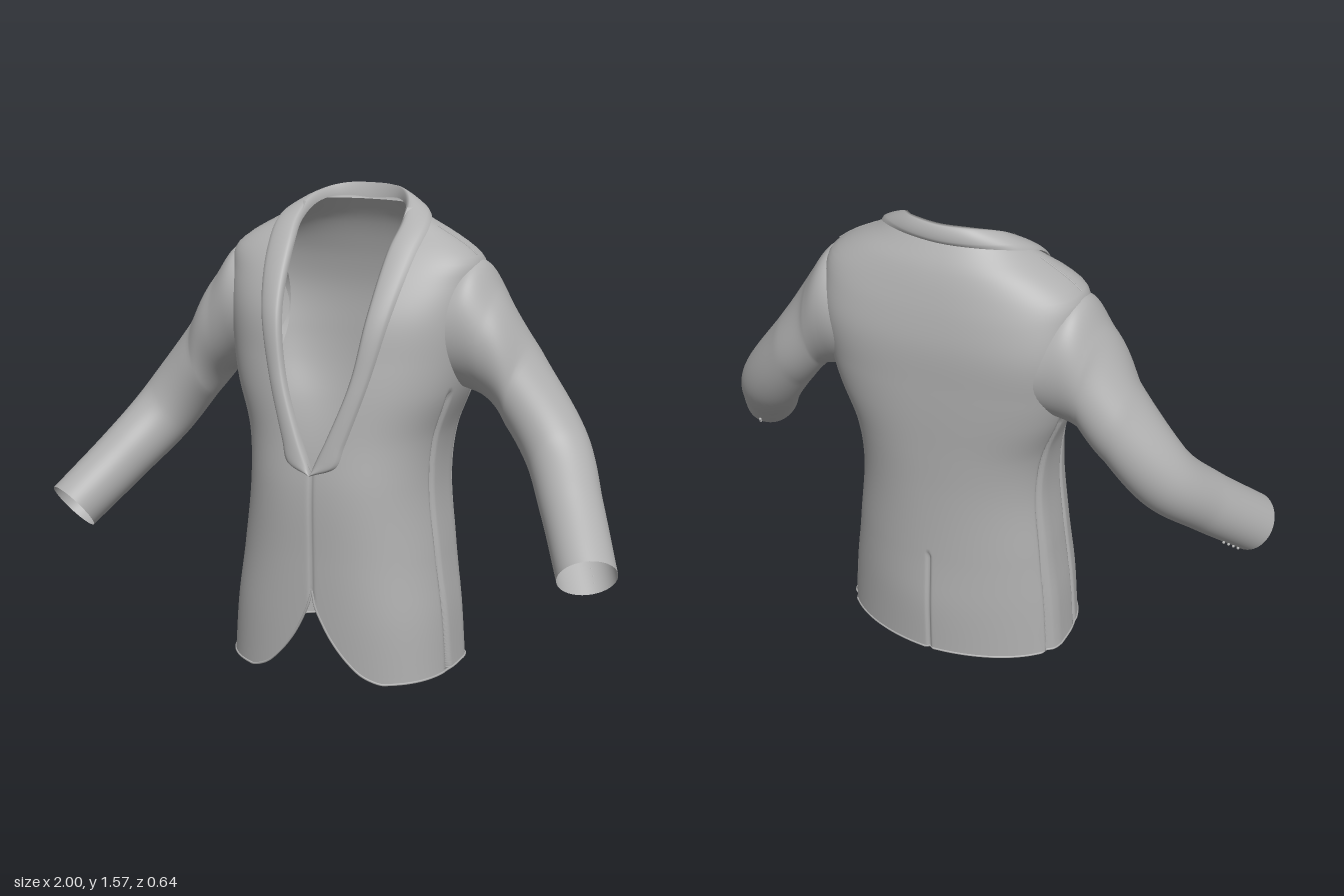
import * as THREE from 'three';
import { mergeVertices } from 'three/addons/utils/BufferGeometryUtils.js';

const V = (x, y, z) => new THREE.Vector3(x, y, z);

// Smooth surface from a rule f(u, v), u and v in 0..1
function grid(nu, nv, f) {
  const pos = [], index = [];
  for (let j = 0; j <= nv; j++)
    for (let i = 0; i <= nu; i++) pos.push(...f(i / nu, j / nv).toArray());
  for (let j = 0; j < nv; j++)
    for (let i = 0; i < nu; i++) {
      const a = j * (nu + 1) + i, b = a + nu + 1;
      index.push(a, a + 1, b, a + 1, b + 1, b);
    }
  let g = new THREE.BufferGeometry();
  g.setAttribute('position', new THREE.Float32BufferAttribute(pos, 3));
  g.setIndex(index);
  g = mergeVertices(g, 1e-5);
  g.computeVertexNormals();
  return g;
}

// Torso sections: height, half width, front z, back z, squareness of front and back
const SECTIONS = [
  [0, 0.39, 0.275, -0.312, 2.9, 1.78], [0.2, 0.375, 0.282, -0.316, 2.8, 1.82],
  [0.4, 0.35, 0.286, -0.308, 2.6, 2], [0.65, 0.325, 0.288, -0.306, 2.5, 2.2],
  [0.8, 0.34, 0.272, -0.31, 2.4, 2.4], [0.95, 0.392, 0.252, -0.315, 2.35, 2.7],
  [1.05, 0.412, 0.234, -0.316, 2.35, 3], [1.2, 0.428, 0.2, -0.314, 2.4, 3.4],
  [1.3, 0.432, 0.148, -0.298, 2.4, 3], [1.37, 0.425, 0.095, -0.28, 2.4, 2.5],
  [1.41, 0.378, 0.06, -0.267, 2.4, 2.4], [1.45, 0.308, 0.015, -0.25, 2.4, 2.4],
  [1.48, 0.252, -0.01, -0.232, 2.4, 2.3], [1.52, 0.195, -0.05, -0.204, 2.4, 2.2],
];
// Half width of the front opening: cutaway hem below, neckline above
const OPENING = [
  [0, 0.235], [0.01, 0.205], [0.03, 0.168], [0.06, 0.135], [0.1, 0.1], [0.15, 0.065], [0.2, 0.038],
  [0.26, 0.012], [0.31, 0], [0.71, 0], [0.82, 0.06], [1, 0.125], [1.2, 0.16], [1.4, 0.178], [1.52, 0.18],
];
const interpolant = (Type, rows) =>
  new Type(rows.map(r => r[0]), rows.flatMap(r => r.slice(1)), rows[0].length - 1);
const sections = interpolant(THREE.CubicInterpolant, SECTIONS);
const opening = interpolant(THREE.LinearInterpolant, OPENING);
const ZC = -0.08;
const bump = (d, w) => Math.exp(-((d / w) ** 2));

const frontZ = (x, y) => {
  const [hw, zf, , n] = sections.evaluate(y);
  return ZC + (zf - ZC) * Math.pow(Math.max(0, 1 - Math.pow(Math.min(1, x / hw), n)), 1 / n);
};

// Point on the torso; t runs from 0 (front centre) by the left side to PI (back centre)
function torsoPoint(y, t) {
  const [hw, zf, zb, nf, nb] = sections.evaluate(y);
  const s = Math.sin(t), c = Math.cos(t);
  const n = c > 0 ? nf : nb, depth = c > 0 ? zf - ZC : ZC - zb;
  const r = Math.pow(Math.pow(Math.abs(s) / hw, n) + Math.pow(Math.abs(c) / depth, n), -1 / n);
  let x = r * s, z = ZC + r * c;
  // Pressed-in seams: side panels, front closure and back vent
  if (y < 0.95 && Math.abs(x) > 0.2) {
    x -= Math.sign(x) * 0.014 * (bump(z - 0.04, 0.008) + bump(z + 0.14, 0.008));
  }
  if (c > 0 && y < 0.72) z -= 0.008 * bump(x, 0.006);
  if (c < 0 && y < 0.42) z += 0.01 * bump(x, 0.006);
  const lift = (0.006 + 0.024 * (1 - c) / 2) * Math.max(0, 1 - y / 0.3);
  return V(x, y + lift, z);
}
function startAngle(y) {
  const w = opening.evaluate(y)[0];
  return Math.atan2(w, frontZ(w, y) - ZC);
}

function torso() {
  return grid(300, 110, (u, v) => {
    const y = 1.52 * Math.pow(v, 1.3);
    const t0 = startAngle(y);
    return torsoPoint(y, t0 + u * 2 * (Math.PI - t0));
  });
}

// Rolled edge along the cutaway fronts and the hem
function hemEdge() {
  const rows = [0.31, 0.26, 0.2, 0.15, 0.1, 0.06, 0.03, 0.01], t0 = startAngle(0);
  const pts = rows.map(y => torsoPoint(y, startAngle(y)));
  for (let i = 0; i <= 90; i++) pts.push(torsoPoint(0, t0 + (i / 90) * 2 * (Math.PI - t0)));
  for (const y of rows.reverse()) pts.push(torsoPoint(y, -startAngle(y)));
  return new THREE.TubeGeometry(new THREE.CatmullRomCurve3(pts), 260, 0.004, 6);
}

// Shawl collar: outer edge and fold line of the left half, z follows the chest where omitted
const OUTER = [[0, 0.695], [0.085, 0.73], [0.11, 0.8], [0.175, 1], [0.225, 1.2], [0.258, 1.38],
  [0.266, 1.472, -0.05], [0.23, 1.502, -0.135], [0.13, 1.515, -0.198], [0, 1.515, -0.218]];
const FOLD = [[0, 0.7], [0.015, 0.74], [0.05, 0.82], [0.115, 1], [0.15, 1.2], [0.168, 1.4],
  [0.178, 1.48, -0.025], [0.158, 1.54, -0.11], [0.1, 1.57, -0.178], [0, 1.575, -0.203]];
const LINING = FOLD.map(([x, y, z], i) => {
  const k = Math.max(0, (i - 5) / 4);
  return [x * (1 - 0.04 * k), y - 0.05 * k, (z ?? frontZ(x, y)) - 0.016 + 0.024 * k];
});
function edgeCurve(rows) {
  const half = rows.map(([x, y, z]) => V(x, y, z ?? frontZ(x, y) + 0.002));
  const other = half.slice(0, -1).reverse().map(p => V(-p.x, p.y, p.z));
  return new THREE.CatmullRomCurve3([...half, ...other]);
}
function collar() {
  const outer = edgeCurve(OUTER), fold = edgeCurve(FOLD), lining = edgeCurve(LINING);
  return grid(160, 12, (u, v) => {
    const a = outer.getPoint(u), b = fold.getPoint(u);
    if (v > 0.95) return lining.getPoint(u);
    const s = v / (11 / 12);
    const along = outer.getTangent(u).add(fold.getTangent(u));
    const n = along.cross(b.clone().sub(a)).normalize();
    const puff = 0.013 * Math.pow(Math.max(0, Math.sin(Math.PI * Math.min(s, 1))), 0.45);
    return a.lerp(b, s).addScaledVector(n, puff);
  });
}

// Sleeve: upper and lower outlines with half depths, from inside the armhole to the cuff
const UPPER = new THREE.CatmullRomCurve3([V(0.34, 1.345, -0.09), V(0.425, 1.365, -0.09), V(0.5, 1.27, -0.09),
  V(0.61, 1.095, -0.1), V(0.775, 0.87, -0.07), V(0.878, 0.7, 0.065), V(0.993, 0.522, 0.25)]);
const LOWER = new THREE.CatmullRomCurve3([V(0.34, 0.96, -0.09), V(0.405, 0.945, -0.09), V(0.46, 0.925, -0.09),
  V(0.54, 0.83, -0.09), V(0.645, 0.68, -0.035), V(0.735, 0.56, 0.092), V(0.837, 0.422, 0.25)]);
const DEPTH = interpolant(THREE.CubicInterpolant,
  [[0, 0.182], [1, 0.169], [2, 0.153], [3, 0.135], [4, 0.112], [5, 0.103], [6, 0.1]]);
const middle = k => UPPER.getPoint(k).add(LOWER.getPoint(k)).multiplyScalar(0.5);
function sleevePoint(side, k, angle, grow = 0) {
  const c = middle(k);
  const along = middle(Math.min(1, k + 0.01)).sub(middle(Math.max(0, k - 0.01))).normalize();
  const up = UPPER.getPoint(k).sub(c);
  const deep = along.cross(up).normalize().multiplyScalar(DEPTH.evaluate(k * 6)[0]);
  const p = c.addScaledVector(up, Math.cos(angle) * (1 + grow)).addScaledVector(deep, Math.sin(angle) * (1 + grow));
  p.x *= side;
  return p;
}

export function createModel() {
  const jacket = new THREE.Group();
  jacket.name = 'jacket';
  const cloth = new THREE.MeshStandardMaterial({ color: 0xb0b0b0, side: THREE.DoubleSide });
  cloth.name = 'grey cloth';
  const add = (name, geometry) => {
    const mesh = new THREE.Mesh(geometry, cloth);
    mesh.name = name;
    jacket.add(mesh);
    return mesh;
  };
  add('torso', torso());
  add('hemEdge', hemEdge());
  add('shawlCollar', collar());

  for (const side of [1, -1]) {
    const label = side > 0 ? 'left' : 'right';
    add(label + 'Sleeve', grid(64, 72, (u, v) => sleevePoint(side, v, side * u * Math.PI * 2)));
    // Shoulder seam
    const seam = [1.38, 1.41, 1.44, 1.465].map(y => torsoPoint(y, side * Math.PI / 2));
    add(label + 'ShoulderSeam', new THREE.TubeGeometry(new THREE.CatmullRomCurve3(seam), 16, 0.003, 6));
    // Cuff buttons
    for (let i = 0; i < 4; i++) {
      const button = add(label + 'CuffButton', new THREE.SphereGeometry(0.005, 10, 8));
      button.position.copy(sleevePoint(side, 0.92 + i * 0.018, -1.9, 0.04));
    }
  }
  return jacket;
}
